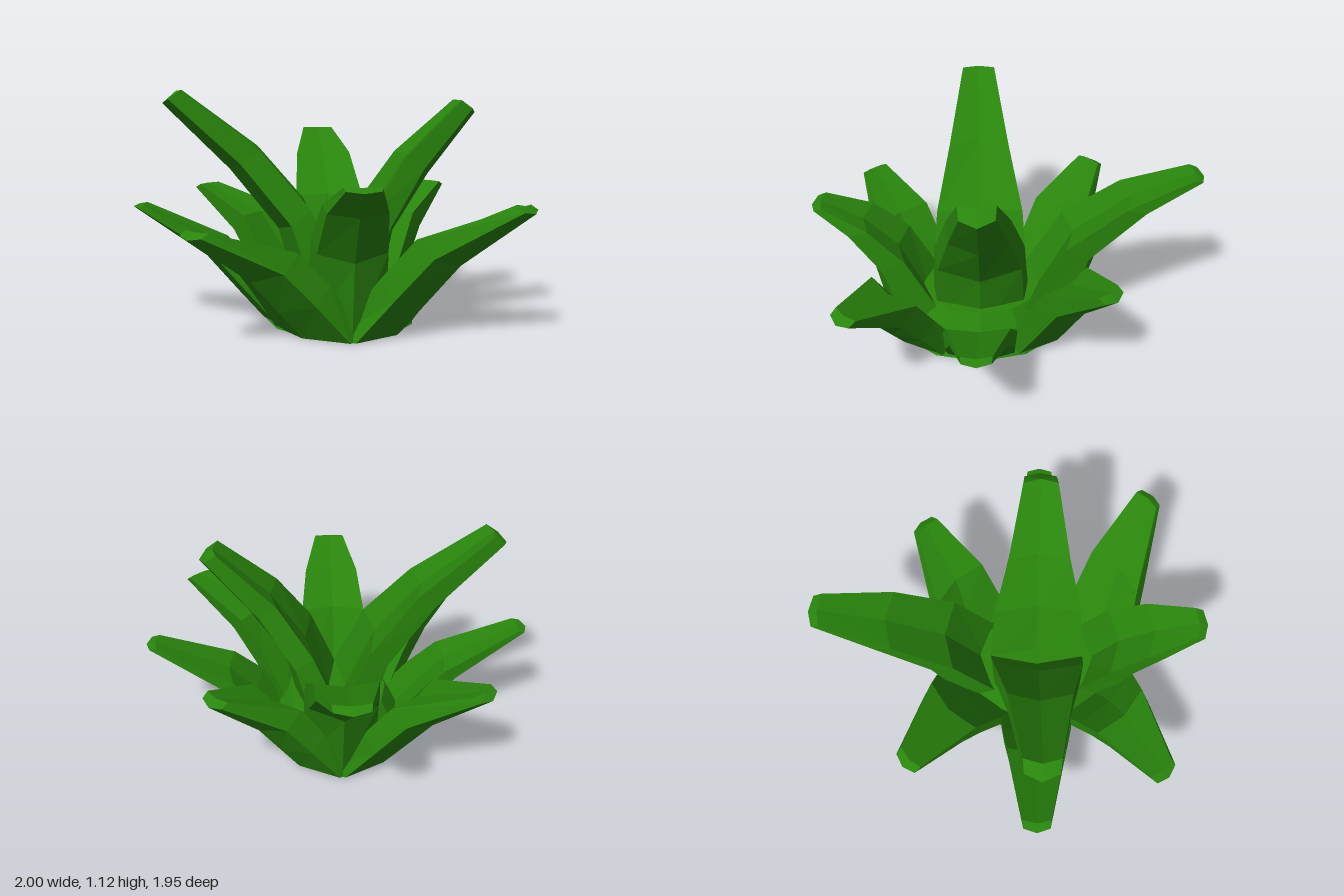
import * as THREE from 'three';

const CENTER_Z = 0.14;
const green = new THREE.MeshStandardMaterial({ color: 0x29850c, flatShading: true, side: THREE.DoubleSide });

// Leaf profiles, base to tip. Each row: position along the leaf, height (both as a share
// of the tip's), half width, and how far the rim sits inward of and above the keel.
const LOW = [[0, 0, 0.185, 0.18, 0], [0.2, 0.25, 0.185, 0.1, 0.09], [0.44, 0.56, 0.15, 0.1, 0.07], [1, 1, 0.07, 0.06, 0.01]];
const DIAGONAL = [[0, 0, 0.24, 0.2, 0], [0.22, 0.27, 0.2, 0.12, 0.13], [0.47, 0.58, 0.165, 0.13, 0.13], [1, 1, 0.07, 0.06, 0.03]];
const MIDDLE = [[0, 0, 0.19, 0.28, 0.15], [0.21, 0.52, 0.18, 0.18, 0.1], [0.62, 0.83, 0.15, 0.15, 0.04], [1, 1, 0.085, 0.06, 0.02]];
const TALL = [[0, 0, 0.25, 0.18, 0.22], [0.18, 0.42, 0.225, 0.14, 0.12], [0.53, 0.7, 0.155, 0.14, 0.1], [1, 1, 0.085, 0.09, 0.06]];

// Thick shallow-V leaf: six-sided sections lofted from the base to a blunt pointed tip.
// base is [x, z] of the keel, tip is [x, y, z], facing is the outward angle from +z to +x.
function leaf(name, rows, base, tip, facing, widthScale = 1) {
  const ox = Math.sin(facing), oz = Math.cos(facing);
  const pos = [], index = [];
  for (const [t, h, halfWidth, inset, rise] of rows) {
    const x = THREE.MathUtils.lerp(base[0], tip[0], t);
    const z = THREE.MathUtils.lerp(base[1], tip[2], t);
    const w = halfWidth * widthScale;
    // side offset, then shares of the inset and of the rise
    const section = [[w, 1, 1], [0, 0.75, 1], [-w, 1, 1], [-w * 0.93, 0.35, 0.35], [0, 0, 0], [w * 0.93, 0.35, 0.35]];
    for (const [s, inward, up] of section) {
      pos.push(x + oz * s - ox * inset * inward, tip[1] * h + rise * up, z - ox * s - oz * inset * inward);
    }
  }
  const last = (rows.length - 1) * 6;
  for (let i = 0; i < last; i += 6) {
    for (let j = 0; j < 6; j++) {
      const a = i + j, b = i + (j + 1) % 6;
      index.push(a, b, b + 6, a, b + 6, a + 6);
    }
  }
  // end caps, fanned from the inner fold
  for (let j = 2; j < 6; j++) {
    const p = j, q = (j + 1) % 6;
    index.push(last + 1, last + p, last + q, 1, q, p);
  }
  const geometry = new THREE.BufferGeometry();
  geometry.setAttribute('position', new THREE.Float32BufferAttribute(pos, 3));
  geometry.setIndex(index);
  geometry.computeVertexNormals();
  const mesh = new THREE.Mesh(geometry, green);
  mesh.name = name;
  return mesh;
}

export function createModel() {
  const group = new THREE.Group();
  group.name = 'plant';
  const q = Math.PI / 4;

  // Outer ring: two low side leaves and four diagonal ones
  group.add(
    leaf('lowLeafLeft', LOW, [0.38, CENTER_Z], [0.995, 0.52, 0.15], 2 * q),
    leaf('lowLeafRight', LOW, [-0.38, CENTER_Z], [-1, 0.565, 0.13], -2 * q),
    leaf('diagonalLeafFrontLeft', DIAGONAL, [0.22, 0.54], [0.79, 0.59, 0.76], q),
    leaf('diagonalLeafFrontRight', DIAGONAL, [-0.22, 0.54], [-0.72, 0.51, 0.78], -q),
    leaf('diagonalLeafBackLeft', DIAGONAL, [0.22, -0.26], [0.63, 0.57, -0.49], 3 * q),
    leaf('diagonalLeafBackRight', DIAGONAL, [-0.22, -0.26], [-0.69, 0.57, -0.52], -3 * q),
  );

  // Inner ring: front, back and two tall side leaves that meet in the middle
  group.add(
    leaf('frontLeaf', MIDDLE, [0, 0.62], [0, 0.72, 0.975], 0, 0.96),
    leaf('backLeaf', MIDDLE, [0, -0.34], [0, 0.86, -0.975], 4 * q),
    leaf('tallLeafLeft', TALL, [0.18, CENTER_Z], [0.68, 1.01, 0.14], 2 * q),
    leaf('tallLeafRight', TALL, [-0.18, CENTER_Z], [-0.85, 1.06, 0.14], -2 * q),
  );

  // Solid core closing the underside and the gaps between the leaf bases
  const core = new THREE.Mesh(new THREE.CylinderGeometry(0.32, 0.46, 0.22, 12), green);
  core.name = 'core';
  core.scale.x = 0.82;
  core.position.set(0, 0.11, CENTER_Z);
  group.add(core);

  return group;
}
